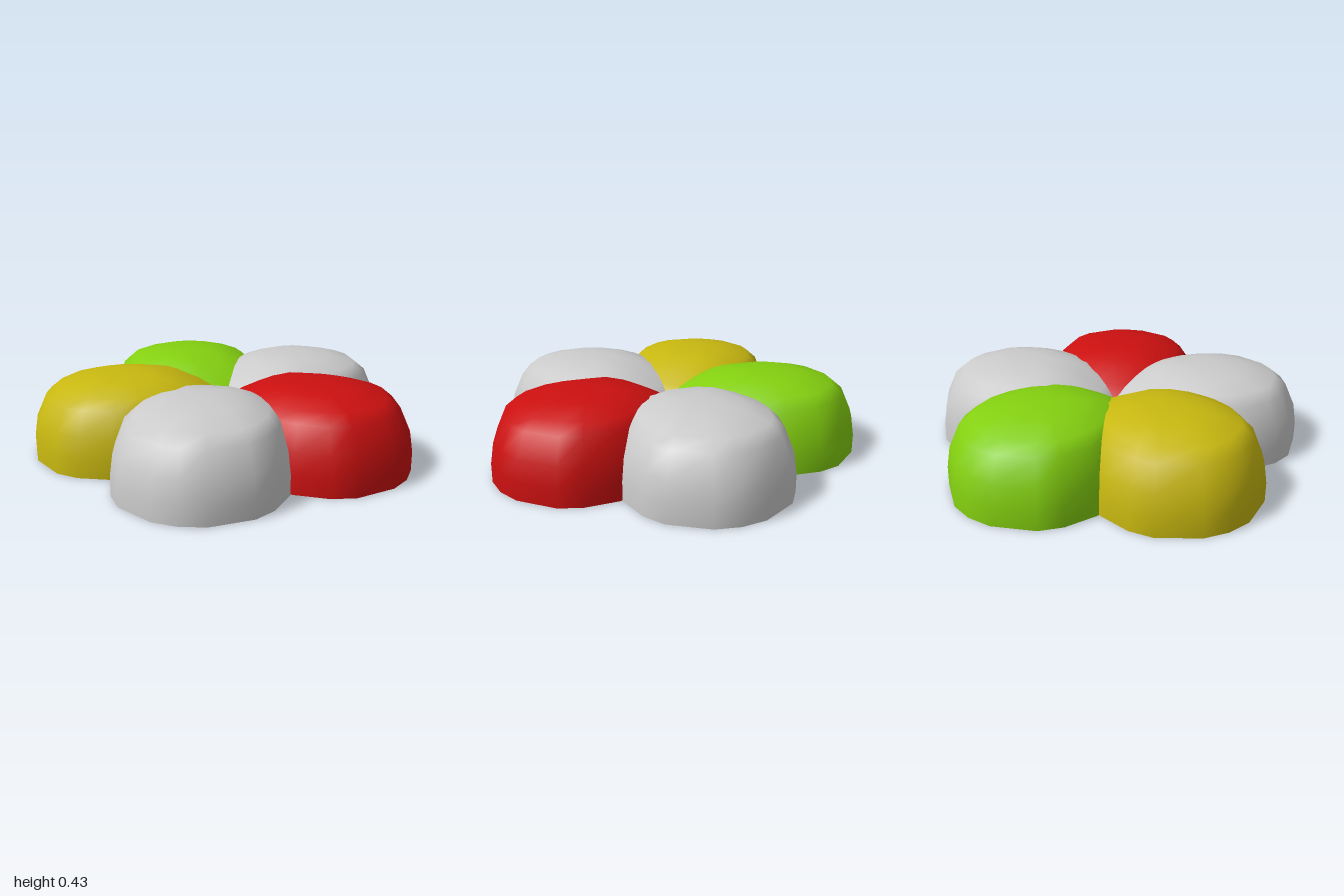
import * as THREE from 'three';

// Half outline of one petal at the ground: [distance along the petal, half width]
const HALF = [
  [1.025, 0], [1.005, 0.13], [0.89, 0.32], [0.785, 0.39], [0.61, 0.435],
  [0.46, 0.425], [0.285, 0.372], [0.08, 0.31], [-0.07, 0.165], [-0.08, 0],
];
const OUTLINE = [...HALF, ...HALF.slice(1, -1).reverse().map(([a, p]) => [a, -p])];

// Dome profile: [scale of the outline, height]
const PROFILE = [[1, 0], [1, 0.1], [0.965, 0.21], [0.86, 0.33], [0.74, 0.38], [0.45, 0.42], [0.2, 0.43]];
const MID = 0.5;

// The lower wall is open at the two inner corners of each petal
const isGap = (ring, seg) => ring < 3 && [6, 7, 10, 11].includes(seg);

function petalGeometry() {
  const n = OUTLINE.length;
  const pos = [];
  const index = [];
  for (const [s, h] of PROFILE) {
    for (const [a, p] of OUTLINE) {
      const z = MID + (a - MID) * s;
      // the roof dips towards the middle of the flower
      const dip = 1 - 0.2 * THREE.MathUtils.smoothstep(0.35 - z, 0, 0.42);
      pos.push(p * s, h * dip, z);
    }
  }
  const apex = pos.length / 3;
  pos.push(0, 0.431, MID);
  for (let r = 0; r < PROFILE.length - 1; r++) {
    for (let i = 0; i < n; i++) {
      if (isGap(r, i)) continue;
      const j = (i + 1) % n;
      const a = r * n + i, b = r * n + j, c = a + n, d = b + n;
      index.push(a, b, d, a, d, c);
    }
  }
  const last = (PROFILE.length - 1) * n;
  for (let i = 0; i < n; i++) index.push(last + i, last + ((i + 1) % n), apex);

  const g = new THREE.BufferGeometry();
  g.setAttribute('position', new THREE.Float32BufferAttribute(pos, 3));
  g.setIndex(index);
  g.computeVertexNormals();
  return g;
}

export function createModel() {
  const flower = new THREE.Group();
  flower.name = 'flower';
  const geometry = petalGeometry();
  const petals = [
    ['frontPetal', 0xcc1010],
    ['leftPetal', 0xcccccc],
    ['backLeftPetal', 0x84d010],
    ['backRightPetal', 0xc8b810],
    ['frontRightPetal', 0xcccccc],
  ];
  // Five overlapping domes around one point
  petals.forEach(([name, color], i) => {
    const material = new THREE.MeshStandardMaterial({ color, side: THREE.DoubleSide });
    const petal = new THREE.Mesh(geometry, material);
    petal.name = name;
    petal.position.set(-0.04, 0, -0.02);
    petal.rotation.y = THREE.MathUtils.degToRad(12.3 + 72 * i);
    flower.add(petal);
  });
  return flower;
}
